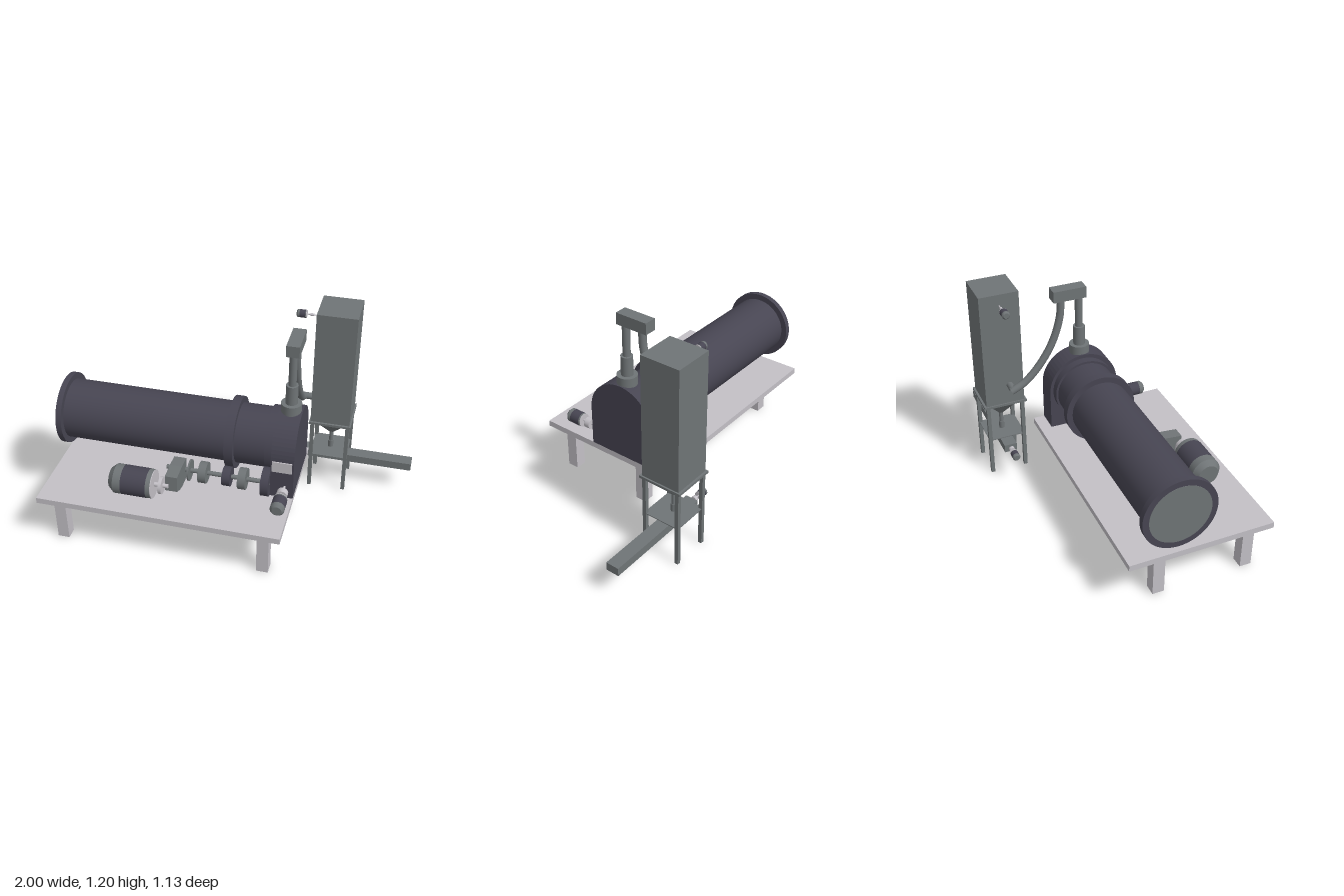
import * as THREE from 'three';

const mat = (name, color) => {
  const m = new THREE.MeshStandardMaterial({ color });
  m.name = name;
  return m;
};

export function createModel() {
  const dark = mat('dark paint', 0x474552);
  const steel = mat('grey steel', 0x6f7476);
  const light = mat('light metal', 0xc3c0c6);
  const model = new THREE.Group();

  const add = (name, geo, material, parent = model) => {
    const mesh = new THREE.Mesh(geo, material);
    mesh.name = name;
    parent.add(mesh);
    return mesh;
  };
  // box given by its limits on each axis
  const box = (name, m, [x0, x1], [y0, y1], [z0, z1], parent) => {
    const mesh = add(name, new THREE.BoxGeometry(x1 - x0, y1 - y0, z1 - z0), m, parent);
    mesh.position.set((x0 + x1) / 2, (y0 + y1) / 2, (z0 + z1) / 2);
    return mesh;
  };
  // cylinder along x from x0 to x1, radius r0 to r1
  const rod = (name, m, x0, x1, y, z, r0, r1 = r0, parent = model, seg = 40) => {
    const geo = new THREE.CylinderGeometry(r1, r0, x1 - x0, seg).rotateZ(-Math.PI / 2);
    const mesh = add(name, geo, m, parent);
    mesh.position.set((x0 + x1) / 2, y, z);
    return mesh;
  };
  // upright cylinder
  const post = (name, m, x, y0, y1, z, r) => {
    const mesh = add(name, new THREE.CylinderGeometry(r, r, y1 - y0, 32), m);
    mesh.position.set(x, (y0 + y1) / 2, z);
  };
  // outline in the z-y plane pushed along x; shape x is -z
  const prism = (name, m, shape, x0, x1) => {
    const geo = new THREE.ExtrudeGeometry(shape, { depth: x1 - x0, bevelEnabled: false, curveSegments: 14 });
    add(name, geo.rotateY(Math.PI / 2), m).position.x = x0;
  };
  // electric motor pointing along +x, front cap at the origin
  const motor = (name, length, r, shaft, flangeAt, flangeR, flangeW) => {
    const g = new THREE.Group();
    g.name = name;
    model.add(g);
    rod('motorTaper', steel, -length, -length * 0.88, 0, 0, r * 0.7, r, g);
    rod('motorRear', steel, -length * 0.88, -length * 0.7, 0, 0, r, r, g);
    rod('motorBody', dark, -length * 0.7, -length * 0.12, 0, 0, r, r, g);
    rod('motorFrontCap', steel, -length * 0.12, -0.004, 0, 0, r, r * 0.97, g);
    rod('motorFace', light, -0.004, 0, 0, 0, r * 0.97, r * 0.97, g);
    rod('motorShaft', light, 0, shaft, 0, 0, r * 0.15, r * 0.15, g);
    rod('coupling', light, flangeAt, flangeAt + flangeW, 0, 0, flangeR, flangeR, g);
    return g;
  };

  // table
  box('tableTop', light, [-1, 0.39], [0.29, 0.325], [-0.267, 0.565]);
  for (const x of [-0.93, 0.25])
    for (const z of [-0.095, 0.43])
      box('tableLeg', light, [x, x + 0.067], [0, 0.29], [z, z + 0.067]);

  // rotating drum with flange, gear ring and seal ring
  const cy = 0.57, cz = 0.005;
  rod('drum', dark, -0.99, 0.26, cy, cz, 0.173, 0.173, model, 64);
  rod('endFlange', dark, -1, -0.967, cy, cz, 0.208, 0.208, model, 64);
  rod('endCover', steel, -1.002, -0.996, cy, cz, 0.173, 0.173, model, 64);
  rod('gearRing', dark, -0.01, 0.04, cy, cz, 0.207, 0.207, model, 64);
  rod('sealRing', dark, 0.215, 0.26, cy, cz, 0.186, 0.186, model, 64);

  // arched housing with front plate
  const arch = new THREE.Shape();
  arch.moveTo(-0.22, 0.325);
  arch.lineTo(0.2, 0.325);
  arch.lineTo(0.2, 0.567);
  arch.absarc(-0.01, 0.567, 0.21, 0, Math.PI, false);
  arch.closePath();
  prism('housing', dark, arch, 0.26, 0.39);
  box('frontPlate', light, [0.268, 0.38], [0.5, 0.567], [0.219, 0.227]);

  // exhaust stack
  post('stackCollar', steel, 0.325, 0.76, 0.825, 0.01, 0.058);
  post('stackSleeve', steel, 0.325, 0.825, 0.94, 0.01, 0.034);
  post('stackPipe', steel, 0.325, 0.94, 1.135, 0.01, 0.022);
  box('stackBox', steel, [0.289, 0.362], [1.13, 1.197], [-0.152, 0.044]);

  // curved duct from the stack to the hopper tower
  const path = new THREE.CatmullRomCurve3([
    [1.135, -0.098], [1.02, -0.106], [0.867, -0.155], [0.733, -0.238], [0.64, -0.33], [0.595, -0.415],
  ].map(([y, z]) => new THREE.Vector3(0.325, y, z)));
  add('duct', new THREE.TubeGeometry(path, 40, 0.022, 20), steel);
  rod('ductInlet', steel, 0.32, 0.39, 0.603, -0.405, 0.02);

  // main drive
  const y = 0.41, z = 0.215;
  motor('mainMotor', 0.25, 0.084, 0.08, 0.032, 0.05, 0.018).position.set(-0.36, y, 0.383);
  const caseShape = new THREE.Shape([
    [-0.375, 0.47], [-0.28, 0.478], [-0.195, 0.475], [-0.195, 0.345], [-0.28, 0.342], [-0.33, 0.352], [-0.385, 0.38],
  ].map(([a, b]) => new THREE.Vector2(a, b)));
  prism('gearCase', steel, caseShape, -0.3, -0.23);
  rod('driveShaft', steel, -0.34, 0.26, y, z, 0.013);
  rod('shaftDisc', steel, -0.207, -0.198, y, z, 0.062);
  rod('bearing', steel, -0.145, -0.1, y, z, 0.062);
  rod('pinion', dark, -0.008, 0.038, y, z, 0.056);
  rod('bearing', steel, 0.083, 0.127, y, z, 0.062);
  rod('sealDisc', dark, 0.215, 0.26, y, z - 0.008, 0.083);

  // small motor on the housing, pointing towards -z
  const side = motor('housingMotor', 0.107, 0.04, 0.11, 0.024, 0.031, 0.036);
  side.position.set(0.342, 0.402, 0.327);
  side.rotation.y = Math.PI / 2;

  // hopper tower
  const sx = 0.501, sz = -0.4385;
  box('tower', steel, [0.385, 0.617], [0.475, 1.197], [-0.555, -0.322]);
  box('towerRim', steel, [0.377, 0.626], [0.468, 0.482], [-0.568, -0.309]);
  const cone = new THREE.CylinderGeometry(0.095 * Math.SQRT2, 0.012, 0.123, 4)
    .rotateY(Math.PI / 4).toNonIndexed();
  cone.computeVertexNormals();
  add('hopper', cone, steel).position.set(sx, 0.4065, sz);
  post('outletPipe', steel, sx, 0.28, 0.36, sz, 0.012);
  post('outletSleeve', steel, sx, 0.205, 0.283, sz, 0.016);
  for (const x of [0.385, 0.595])
    for (const lz of [-0.555, -0.344])
      box('towerLeg', steel, [x, x + 0.022], [0, 0.47], [lz, lz + 0.022]);
  box('towerShelf', steel, [0.39, 0.612], [0.232, 0.237], [-0.55, -0.327]);
  motor('towerMotor', 0.058, 0.023, 0.075, 0.02, 0.008, 0.02).position.set(0.313, 1.13, sz);

  // conveyor
  box('conveyor', steel, [0.337, 1], [0.163, 0.211], [-0.476, -0.4]);
  motor('conveyorMotor', 0.058, 0.023, 0.065, 0.025, 0.017, 0.02).position.set(0.278, 0.19, sz);

  return model;
}
